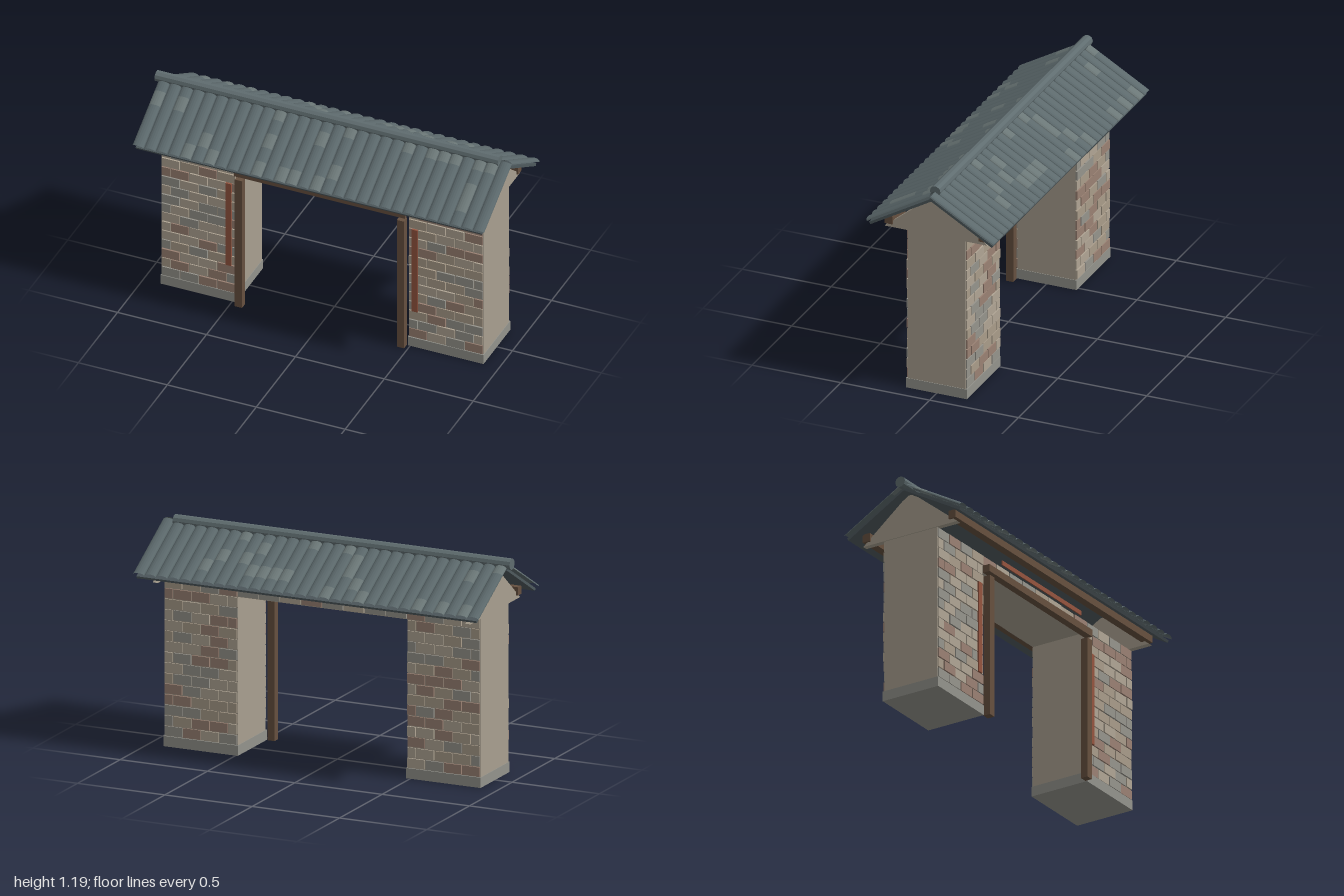
import * as THREE from 'three';
import { mergeGeometries } from 'three/addons/utils/BufferGeometryUtils.js';

const CX = 0.005; // centre line of the gateway
const mat = (color, extra = {}) => new THREE.MeshStandardMaterial({ color, flatShading: true, ...extra });
const M = {
  wall: mat(0xa89f8f), base: mat(0x93938c), wood: mat(0x66503f), red: mat(0x94543f),
  slab: mat(0x4e595d), ridge: mat(0x5f6c6f),
};
const BRICKS = [0xb0a594, 0xa99c8a, 0x96948c, 0x9a8173].map((c) => mat(c));
const TILES = [0x5c696c, 0x6b7777].map((c) => mat(c, { side: THREE.DoubleSide }));

let seed = 7;
const rand = () => (seed = (seed * 16807) % 2147483647) / 2147483647;

function add(parent, name, geometry, material) {
  const mesh = new THREE.Mesh(geometry, material);
  mesh.name = name;
  parent.add(mesh);
  return mesh;
}

// Box given by its lower and upper limits on each axis
function boxGeo(x0, x1, y0, y1, z0, z1) {
  return new THREE.BoxGeometry(x1 - x0, y1 - y0, z1 - z0)
    .translate((x0 + x1) / 2, (y0 + y1) / 2, (z0 + z1) / 2);
}

// One merged mesh per colour
function addMerged(parent, name, buckets, materials) {
  buckets.forEach((list, i) => {
    if (list.length) add(parent, name + (i + 1), mergeGeometries(list), materials[i]);
  });
}

// Running-bond courses on the front and back of a wall area
function brickwork(buckets, x0, x1, y0, y1, rows, pitch) {
  const h = (y1 - y0) / rows, gap = 0.003;
  for (const s of [1, -1]) {
    for (let r = 0; r < rows; r++) {
      for (let x = x0 - (r % 2) * pitch / 2; x < x1 - 0.01; x += pitch) {
        const a = Math.max(x, x0) + gap, b = Math.min(x + pitch, x1) - gap;
        const out = 0.168 + rand() * 0.005;
        const y = y0 + r * h;
        const g = boxGeo(a, b, y + gap, y + h - gap, s > 0 ? 0.155 : -out, s > 0 ? out : -0.155);
        buckets[Math.floor(rand() * BRICKS.length)].push(g);
      }
    }
  }
}

// Arched cover tile: open half-ellipse shell running along z
function tileGeo(width, height, z0, z1) {
  const g = new THREE.CylinderGeometry(1, 1, z1 - z0, 8, 1, true, -Math.PI / 2, Math.PI);
  g.rotateX(-Math.PI / 2); // axis to z, arch upwards
  g.scale(width / 2, height, 1);
  return g.translate(0, 0, (z0 + z1) / 2);
}

function buildRoof(root) {
  const roof = new THREE.Group();
  roof.name = 'roof';
  root.add(roof);
  const count = 30, pitch = 0.066, len = 0.41, parts = 5, mid = 0.008;
  for (const s of [1, -1]) {
    const side = new THREE.Group();
    side.name = s > 0 ? 'frontSlope' : 'backSlope';
    side.rotation.y = s > 0 ? 0 : Math.PI;
    const slope = new THREE.Group();
    slope.name = 'slopePanel';
    slope.position.y = 1.16;
    slope.rotation.x = Math.PI / 6;
    side.add(slope);
    roof.add(side);

    add(slope, 'roofSlab', boxGeo(s * mid - 0.973, s * mid + 0.973, -0.026, -0.012, 0, len), M.slab);

    const buckets = TILES.map(() => []);
    for (let i = 0; i < count; i++) {
      const x = s * mid + (i - (count - 1) / 2) * pitch;
      for (let k = 0; k < parts; k++) {
        const g = tileGeo(pitch - 0.003, 0.015, k * len / parts, (k + 1) * len / parts);
        buckets[rand() < 0.12 ? 1 : 0].push(g.translate(x, 0, 0));
      }
    }
    addMerged(slope, 'roofTiles', buckets, TILES);
  }

  // Ridge roll
  const ridge = add(roof, 'ridge', new THREE.CylinderGeometry(0.03, 0.03, 1.93, 10), M.ridge);
  ridge.rotation.z = Math.PI / 2;
  ridge.position.set(-0.035, 1.165, 0);

  // Eave beams under both slopes
  for (const s of [1, -1]) {
    const z = s * 0.265;
    add(roof, 'eaveBeam', boxGeo(CX - 0.92, CX + 0.92, 0.925, 0.97, z - 0.022, z + 0.022), M.wood);
  }

  // Gable walls
  const tri = new THREE.Shape([[-0.29, 0.905], [0.29, 0.905], [0.02, 1.125], [-0.02, 1.125]]
    .map(([a, b]) => new THREE.Vector2(a, b)));
  for (const s of [1, -1]) {
    const g = new THREE.ExtrudeGeometry(tri, { depth: 0.03, bevelEnabled: false });
    g.translate(0, 0, -0.015).rotateY(Math.PI / 2);
    add(roof, 'gable', g, M.wall).position.x = CX + s * 0.895;
  }
}

export function createModel() {
  const root = new THREE.Group();
  root.name = 'gateway';
  const bricks = BRICKS.map(() => []);

  for (const s of [1, -1]) {
    const name = s > 0 ? 'left' : 'right';
    const span = (a, b) => (s > 0 ? [CX + a, CX + b] : [CX - b, CX - a]);

    // Brick-faced pier on a stone plinth
    const [p0, p1] = span(0.485, 0.905);
    add(root, name + 'Pier', boxGeo(p0, p1, 0.05, 0.905, -0.163, 0.163), M.wall);
    add(root, name + 'Plinth', boxGeo(p0 - 0.003, p1 + 0.003, 0, 0.055, -0.171, 0.171), M.base);
    brickwork(bricks, p0, p1, 0.055, 0.905, 15, 0.105);

    // Door post and narrow red strip
    add(root, name + 'Post', boxGeo(...span(0.435, 0.476), 0, 0.79, 0.165, 0.205), M.wood);
    add(root, name + 'Strip', boxGeo(...span(0.508, 0.54), 0.225, 0.735, 0.17, 0.18), M.red);
  }

  // Wall over the opening
  add(root, 'lintelWall', boxGeo(CX - 0.485, CX + 0.485, 0.848, 0.905, -0.163, 0.163), M.wall);
  brickwork(bricks, CX - 0.485, CX + 0.485, 0.85, 0.905, 1, 0.1213);
  addMerged(root, 'bricks', bricks, BRICKS);

  // Door beam and red board
  add(root, 'doorBeam', boxGeo(CX - 0.48, CX + 0.48, 0.81, 0.85, 0.165, 0.205), M.wood);
  add(root, 'redBoard', boxGeo(CX - 0.37, CX + 0.37, 0.886, 0.911, 0.206, 0.212), M.red);

  buildRoof(root);
  return root;
}
